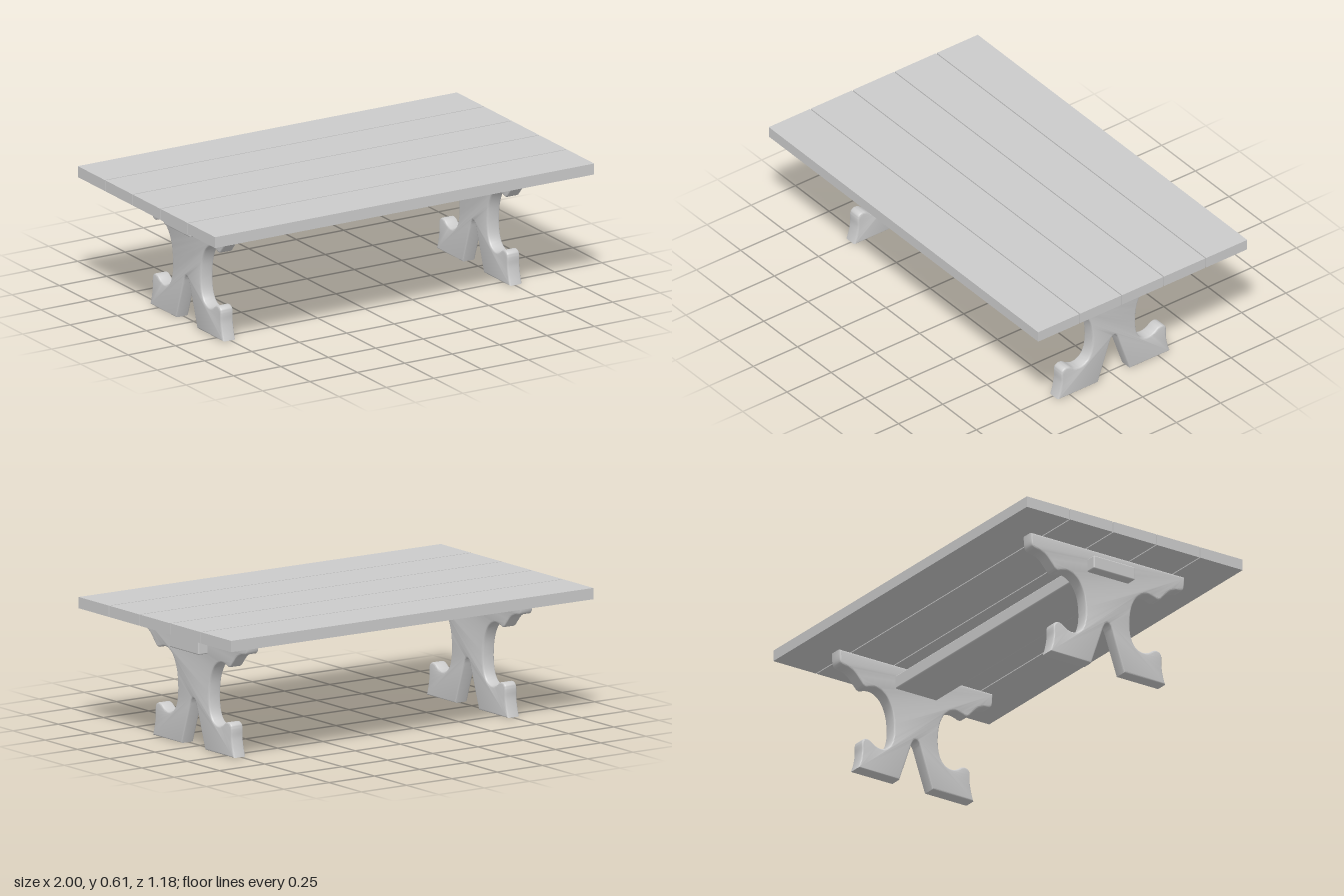
import * as THREE from 'three';
import { toCreasedNormals } from 'three/addons/utils/BufferGeometryUtils.js';
import { RoundedBoxGeometry } from 'three/addons/geometries/RoundedBoxGeometry.js';

const material = new THREE.MeshStandardMaterial({ color: 0xcccccc });

// Smooth curve through [u, y] pairs, sampled into points
function smooth(pairs, divisions) {
  return new THREE.SplineCurve(pairs.map(([u, y]) => new THREE.Vector2(u, y))).getPoints(divisions);
}

// Scrolled trestle outline: one half, then its mirror image
function trestleShape() {
  const scroll = smooth([
    [0.42, 0.56], [0.418, 0.515], [0.41, 0.494], [0.39, 0.487], [0.365, 0.482],
    [0.335, 0.466], [0.305, 0.434], [0.287, 0.415], [0.27, 0.411], [0.25, 0.418],
    [0.22, 0.423], [0.188, 0.414], [0.155, 0.385], [0.13, 0.33], [0.121, 0.26],
    [0.125, 0.2], [0.14, 0.158], [0.165, 0.134], [0.195, 0.127], [0.225, 0.135],
    [0.25, 0.152], [0.273, 0.156], [0.292, 0.144], [0.296, 0.12], [0.296, 0.085],
    [0.304, 0.04], [0.316, 0],
  ], 90);
  const arch = smooth([[0.03, 0.175], [0.021, 0.2], [0.011, 0.217], [0, 0.222]], 10);
  const half = [...scroll, new THREE.Vector2(0.09, 0), ...arch];
  const mirrored = half.slice(0, -1).reverse().map((p) => new THREE.Vector2(-p.x, p.y));
  return new THREE.Shape([...half, ...mirrored]);
}

function addMesh(group, name, geometry, x, y, z) {
  const mesh = new THREE.Mesh(geometry, material);
  mesh.name = name;
  mesh.position.set(x, y, z);
  group.add(mesh);
}

export function createModel() {
  const table = new THREE.Group();
  table.name = 'trestleTable';

  // Five top planks with narrow gaps
  const plank = new THREE.BoxGeometry(2, 0.052, 0.232);
  for (let i = -2; i <= 2; i++) {
    addMesh(table, `topPlank${i + 3}`, plank, 0, 0.586, i * 0.2375);
  }

  // Two trestles with softened edges
  const bevel = 0.008;
  const thickness = 0.066;
  const extruded = new THREE.ExtrudeGeometry(trestleShape(), {
    depth: thickness - 2 * bevel,
    bevelThickness: bevel,
    bevelSize: bevel,
    bevelOffset: -bevel,
    bevelSegments: 3,
  });
  extruded.translate(0, 0, -(thickness - 2 * bevel) / 2).rotateY(Math.PI / 2);
  const trestle = toCreasedNormals(extruded, 0.65);
  addMesh(table, 'leftTrestle', trestle, 0.756, 0, 0);
  addMesh(table, 'rightTrestle', trestle, -0.756, 0, 0);

  // Stretcher board running through both trestles
  addMesh(table, 'stretcher', new RoundedBoxGeometry(1.68, 0.064, 0.226, 2, 0.006), 0, 0.477, 0);

  return table;
}
